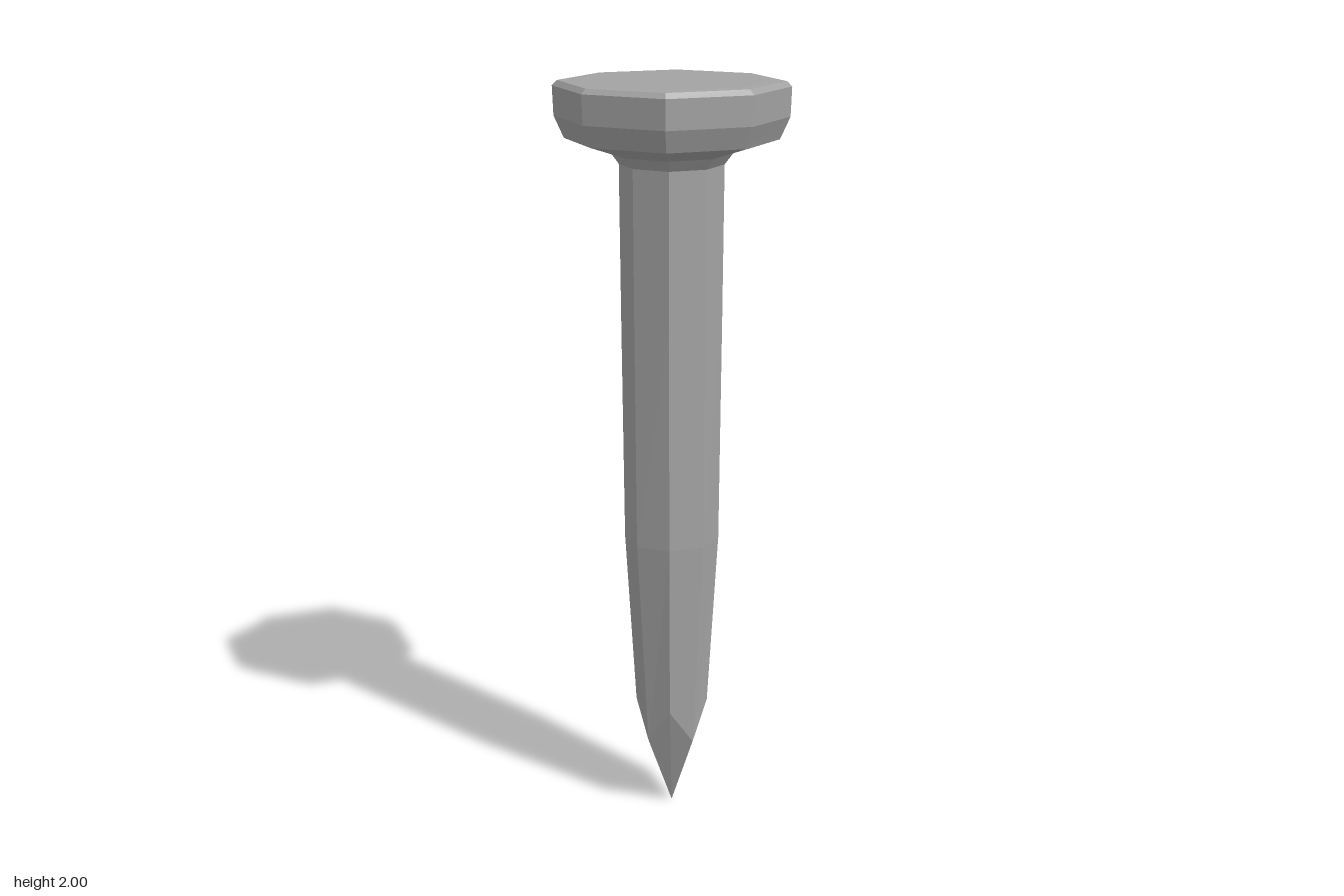
import * as THREE from 'three';

// Octagonal ring: corners on the axes at radius r and height y,
// diagonal corners at x = z = d and height yd.
function ring([r, y, d, yd = y]) {
  return Array.from({ length: 8 }, (_, i) => {
    const a = (i * Math.PI) / 4;
    const radius = i % 2 ? d * Math.SQRT2 : r;
    return [Math.sin(a) * radius, i % 2 ? yd : y, Math.cos(a) * radius];
  });
}

// Joins rings from bottom to top into a faceted surface.
function loft(profile) {
  const rings = profile.map(ring);
  const positions = [];
  for (let k = 0; k < rings.length - 1; k++) {
    const low = rings[k], up = rings[k + 1];
    for (let i = 0; i < 8; i++) {
      const j = (i + 1) % 8;
      if (profile[k][0] > 0) positions.push(...low[i], ...low[j], ...up[j]);
      else positions.push(...low[i], ...up[j], ...up[i]);
      if (profile[k][0] > 0 && profile[k + 1][0] > 0) positions.push(...low[i], ...up[j], ...up[i]);
    }
  }
  const geometry = new THREE.BufferGeometry();
  geometry.setAttribute('position', new THREE.Float32BufferAttribute(positions, 3));
  geometry.computeVertexNormals();
  return geometry;
}

export function createModel() {
  const group = new THREE.Group();
  group.name = 'nail';
  const steel = new THREE.MeshStandardMaterial({ color: 0xa3a3a3 });
  steel.name = 'grey steel';

  const add = (name, profile) => {
    const mesh = new THREE.Mesh(loft(profile), steel);
    mesh.name = name;
    group.add(mesh);
  };

  // Four-sided point cut into the eight-sided shaft
  add('point', [
    [0, 0, 0],
    [0.086, 0.21, 0.069, 0.31],
  ]);

  // Tapering shaft
  add('shaft', [
    [0.086, 0.21, 0.069, 0.31],
    [0.124, 0.79, 0.089],
    [0.129, 1.4, 0.093],
    [0.131, 1.79, 0.095],
  ]);

  // Flared collar and bevelled head, closed on top
  add('head', [
    [0.131, 1.79, 0.095],
    [0.152, 1.818, 0.11],
    [0.265, 1.854, 0.193],
    [0.29, 1.91, 0.211],
    [0.293, 1.985, 0.213],
    [0.28, 1.998, 0.204],
    [0.243, 2, 0.176],
    [0, 2, 0],
  ]);

  return group;
}
